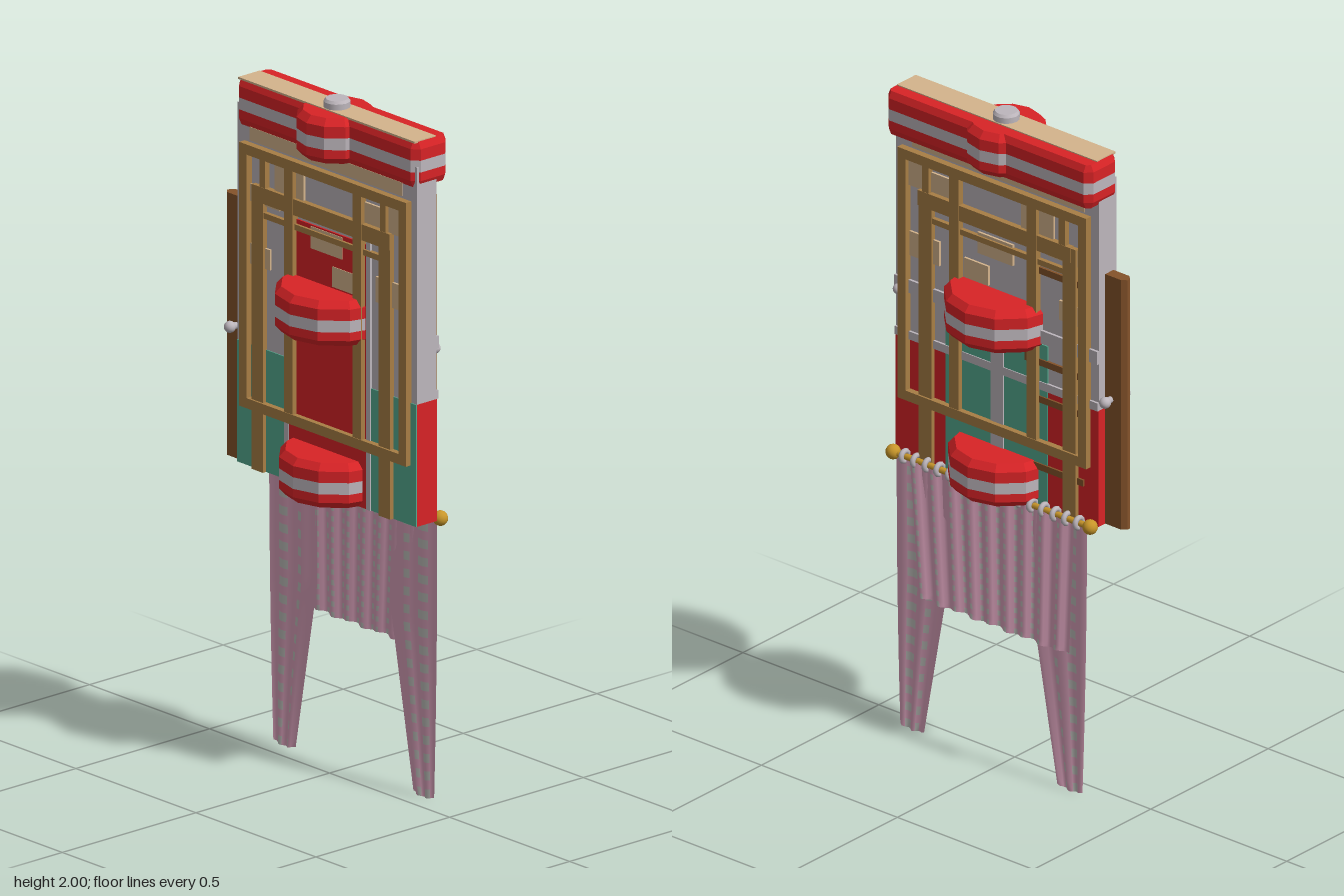
import * as THREE from 'three';
import { ConvexGeometry } from 'three/addons/geometries/ConvexGeometry.js';

const CZ = 0.031; // middle of the wall along z

export function createModel() {
  const model = new THREE.Group();
  model.name = 'wallSection';
  const mat = (name, color, side = THREE.FrontSide) => {
    const m = new THREE.MeshStandardMaterial({ color, side });
    m.name = name;
    return m;
  };
  const red = mat('red', 0xd82326), grey = mat('paleGrey', 0xbdb6bc), tan = mat('tanStone', 0xd4b48c);
  const wood = mat('wood', 0xa87e45), brown = mat('darkWood', 0x84532a), teal = mat('teal', 0x55ab90);
  const gold = mat('gold', 0xc8962a), pink = mat('pinkCloth', 0xd79fb8, THREE.DoubleSide);
  const dot = mat('clothDots', 0xbcbcb8, THREE.DoubleSide);

  const add = (name, geo, material, x = 0, y = 0, z = 0, parent = model) => {
    const mesh = new THREE.Mesh(geo, material);
    mesh.name = name;
    mesh.position.set(x, y, z);
    parent.add(mesh);
    return mesh;
  };
  // Box given by its limits
  const box = (name, m, x0, x1, y0, y1, z0, z1, parent = model) =>
    add(name, new THREE.BoxGeometry(Math.abs(x1 - x0), Math.abs(y1 - y0), Math.abs(z1 - z0)), m,
      (x0 + x1) / 2, (y0 + y1) / 2, (z0 + z1) / 2, parent);
  // Flat faced slab between two outlines of [x, z]
  const slab = (name, m, lower, upper, y0, y1, parent = model) =>
    add(name, new ConvexGeometry([
      ...lower.map(([x, z]) => new THREE.Vector3(x, y0, z)),
      ...upper.map(([x, z]) => new THREE.Vector3(x, y1, z))]), m, 0, 0, 0, parent);
  // Chamfered red moulding with a pale stripe; outline(inset) gives the plan
  const moulding = (name, outline, y0, y1, parent = model) => {
    const g = new THREE.Group(), h = y1 - y0, c = 0.02;
    g.name = name;
    const o = outline(0), s = outline(0.018), a = y0 + h * 0.34, b = y0 + h * 0.6;
    slab('lowerChamfer', red, s, o, y0, y0 + c, g);
    slab('lowerBand', red, o, o, y0 + c, a, g);
    slab('stripe', grey, o, o, a, b, g);
    slab('upperBand', red, o, o, b, y1 - c, g);
    slab('upperChamfer', red, o, s, y1 - c, y1, g);
    parent.add(g);
  };
  const disc = (r) => (inset) => Array.from({ length: 12 }, (_, i) => {
    const t = i * Math.PI / 6;
    return [(r - inset) * Math.cos(t), CZ + (r - inset) * Math.sin(t)];
  });
  const bevelRect = (x0, x1, z0, z1, k) => (i) => [
    [x0 + i, z0 + k], [x0 + k, z0 + i], [x1 - k, z0 + i], [x1 - i, z0 + k],
    [x1 - i, z1 - k], [x1 - k, z1 - i], [x0 + k, z1 - i], [x0 + i, z1 - k]];

  // Wall core
  box('upperWall', grey, -0.037, 0.037, 1.2, 1.9, -0.342, 0.405);
  box('lowerWall', red, -0.037, 0.03, 0.84, 1.2, -0.342, 0.405);
  box('topStones', tan, -0.039, 0.039, 1.8, 1.84, -0.29, 0.345);

  // Cornice, roof strip and finial
  const narrow = bevelRect(-0.046, 0.085, -0.346, 0.409, 0.02);
  moulding('cornice', (i) => narrow(i * 0.5), 1.838, 1.972);
  moulding('corniceBulge', disc(0.115), 1.838, 1.972);
  box('roofStrip', tan, -0.04, 0.04, 1.969, 1.975, -0.336, 0.399);
  add('finial', new THREE.CylinderGeometry(0.032, 0.038, 0.008, 14), grey, 0, 1.996, CZ);
  add('finialBase', new THREE.CylinderGeometry(0.038, 0.038, 0.03, 14), grey, 0, 1.977, CZ);

  // Round canopies passing through the wall
  moulding('upperCanopy', disc(0.177), 1.322, 1.455);
  moulding('lowerCanopy', disc(0.165), 0.84, 0.972);

  // Painted left face: red corners, teal window with pale bars
  box('leftBase', red, 0.029, 0.039, 0.84, 1.2, -0.342, 0.405);
  box('tealWindow', teal, 0.034, 0.041, 0.84, 1.34, -0.155, 0.22);
  box('windowPost', grey, 0.037, 0.044, 0.84, 1.36, 0.005, 0.052);
  box('windowBar', grey, 0.037, 0.044, 1.2, 1.225, -0.342, 0.405);
  box('windowLintel', grey, 0.037, 0.045, 1.345, 1.385, -0.342, 0.405);
  for (const y of [1.56, 1.275, 1.16, 0.95])
    box('hingeStrip', brown, 0.036, 0.045, y, y + 0.02, -0.29, -0.1);
  box('hingePost', brown, 0.036, 0.045, 1.275, 1.45, -0.1, -0.075);

  // Painted right face: teal corners and a red door
  box('rightBase', teal, -0.04, -0.034, 0.84, 1.2, -0.342, 0.405);
  box('redDoor', red, -0.042, -0.035, 0.84, 1.62, -0.13, 0.2);
  for (const z of [-0.14, 0.2]) box('doorTrim', grey, -0.044, -0.036, 0.84, 1.63, z, z + 0.018);

  // Scattered stones on both faces: z, y, width, height
  const stones = [[0.035, 1.583, 0.13, 0.065], [0.105, 1.49, 0.09, 0.06], [-0.12, 1.72, 0.12, 0.08],
    [0.325, 1.72, 0.06, 0.08], [0.295, 1.5, 0.11, 0.075], [-0.23, 1.65, 0.14, 0.05],
    [0.23, 1.715, 0.13, 0.06], [-0.25, 1.47, 0.1, 0.06]];
  for (const s of [-1, 1]) for (const [z, y, w, h] of stones)
    box('stone', tan, s * 0.036, s * 0.044, y - h / 2, y + h / 2, z - w / 2, z + w / 2);

  // Wooden lattice on both faces
  for (const s of [-1, 1]) {
    const g = new THREE.Group();
    g.name = s > 0 ? 'leftLattice' : 'rightLattice';
    model.add(g);
    const bar = (name, y0, y1, z0, z1, out) => box(name, wood, s * 0.036, s * out, y0, y1, z0, z1, g);
    for (const z of [-0.312, 0.352]) bar('frameSide', 1.016, 1.794, z, z + 0.03, 0.058);
    for (const y of [1.016, 1.764]) bar('frameRail', y, y + 0.03, -0.312, 0.382, 0.058);
    for (const z of [-0.268, 0.262]) bar('post', 0.84, 1.68, z, z + 0.048, 0.052);
    bar('lintel', 1.635, 1.682, -0.25, 0.31, 0.055);
    bar('thinRail', 1.59, 1.607, -0.25, 0.29, 0.05);
    for (const z of [-0.127, 0.158]) bar('innerUpright', 1.03, 1.78, z, z + 0.036, 0.056);
    for (const z of [-0.232, 0.27]) bar('upperUpright', 1.66, 1.78, z, z + 0.024, 0.054);
  }

  // Dark wood shutter at the back end, with knobs
  const shutter = [[-0.024, -0.335], [0.011, -0.335], [0.011, -0.4], [0, -0.414], [-0.012, -0.414], [-0.024, -0.4]];
  slab('shutter', brown, shutter, shutter, 0.84, 1.615);
  const ball = (name, r, m, x, y, z) => add(name, new THREE.SphereGeometry(r, 14, 10), m, x, y, z);
  const pin = add('knobPin', new THREE.CylinderGeometry(0.01, 0.01, 0.08, 10), grey, -0.004, 1.232, -0.362);
  pin.rotation.z = Math.PI / 2;
  ball('knob', 0.017, grey, -0.046, 1.232, -0.364);
  ball('knob', 0.017, grey, 0.037, 1.232, -0.364);
  ball('frontKnob', 0.016, grey, 0.044, 1.345, 0.39);

  // Curtain rod, end balls and rings
  const rod = add('curtainRod', new THREE.CylinderGeometry(0.009, 0.009, 0.73, 10), gold, 0.058, 0.842, 0.035);
  rod.rotation.x = Math.PI / 2;
  for (const z of [-0.327, 0.397]) ball('rodEnd', 0.022, gold, 0.058, 0.842, z);
  for (let i = 0; i < 16; i++)
    add('curtainRing', new THREE.TorusGeometry(0.015, 0.008, 8, 14), grey, 0.058, 0.842, -0.285 + i * 0.0427);

  // Cloth grid: point(u, v) places it, dotted(i, j) picks the spotted cells
  const cloth = (name, nu, nv, point, dotted) => {
    const pos = [], plain = [], spots = [];
    for (let j = 0; j <= nv; j++) for (let i = 0; i <= nu; i++) pos.push(...point(i / nu, j / nv));
    for (let j = 0; j < nv; j++) for (let i = 0; i < nu; i++) {
      const a = j * (nu + 1) + i, b = a + nu + 1;
      (dotted(i, j) ? spots : plain).push(a, b, a + 1, b, b + 1, a + 1);
    }
    const geo = new THREE.BufferGeometry();
    geo.setAttribute('position', new THREE.Float32BufferAttribute(pos, 3));
    geo.setIndex([...plain, ...spots]);
    geo.addGroup(0, plain.length, 0);
    geo.addGroup(plain.length, spots.length, 1);
    geo.computeVertexNormals();
    add(name, geo, [pink, dot]);
  };
  const mix = THREE.MathUtils.lerp;
  cloth('curtainPanel', 54, 26, (u, v) => [
    0.064 + 0.009 * v + 0.007 * Math.sin(u * 56), mix(0.84, 0.43, v) + 0.003 * v * Math.sin(u * 28),
    mix(mix(0.33, 0.29, v), mix(-0.27, -0.26, v), u)],
  (i, j) => i % 3 === 1 && j % 2 === 1 && (Math.abs(i - 26) < 16 || i % 6 === 1));
  for (const s of [1, -1])
    cloth(s > 0 ? 'frontCurtainTail' : 'backCurtainTail', 10, 32, (u, v) => {
      const inner = mix(0.155, 0.245, Math.max(0, v - 0.4) / 0.6);
      return [0.057 + 0.005 * Math.sin(u * 15), mix(0.84, 0.008 - 0.008 * Math.sin(u * Math.PI), v),
        0.035 + s * mix(mix(0.35, 0.335, v * v), inner, u)].map((c, k) => (k === 0 ? c + 0.002 * v : c));
    }, (i, j) => (i === 2 || i === 3 || i === 6) && j % 2 === 1);

  return model;
}
